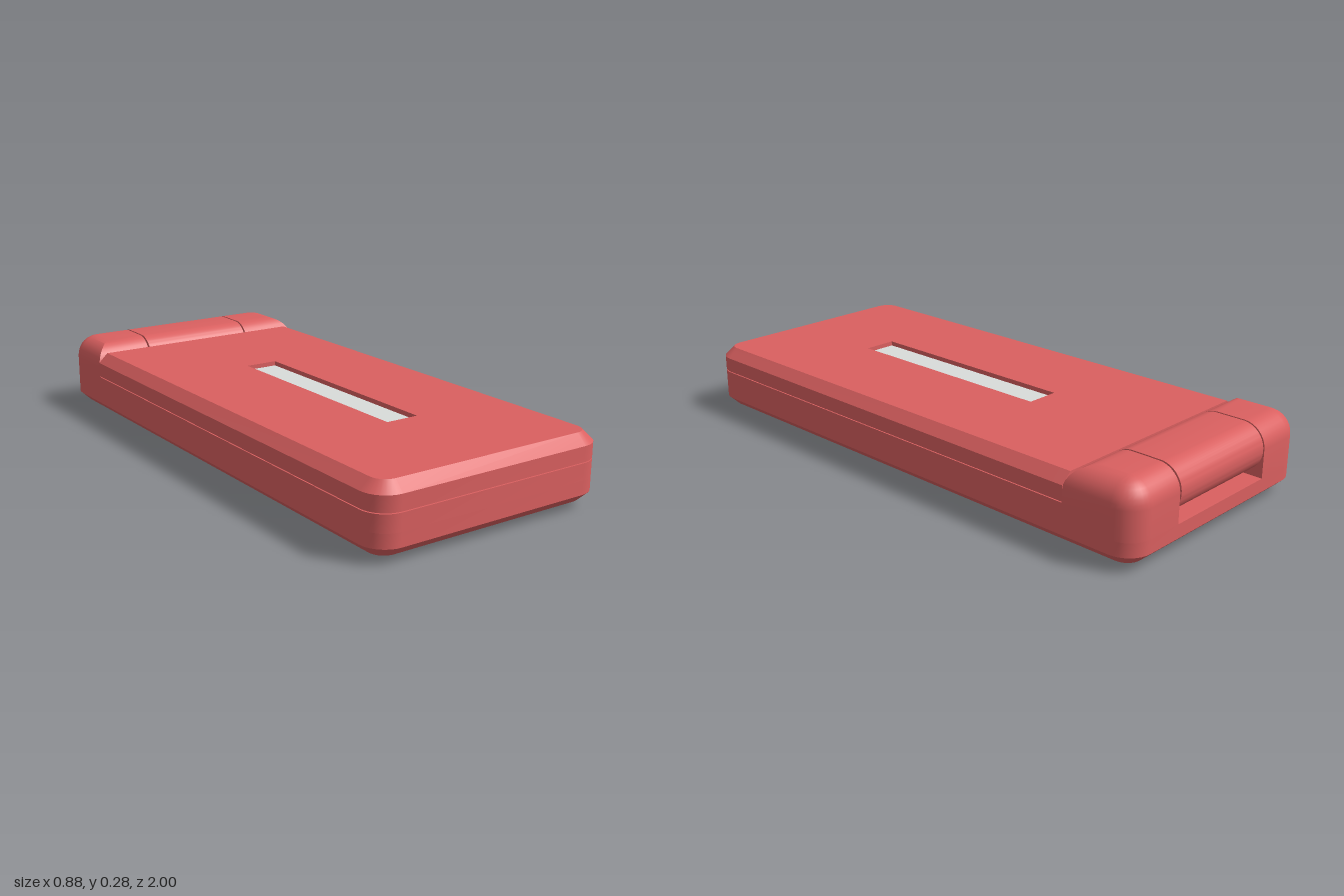
import * as THREE from 'three';
import { toCreasedNormals } from 'three/addons/utils/BufferGeometryUtils.js';

const red = new THREE.MeshStandardMaterial({ color: 0xda6060 });
red.name = 'red shell';
const grey = new THREE.MeshStandardMaterial({ color: 0xd9dcda });
grey.name = 'pale grey glass';

const W = 0.44, R = 0.085, HINGE_Z = -0.74, SLOT = 0.224;

// Plan outline, counter-clockwise from above, starting at the front +x corner.
// radii: front +x, back +x, back -x, front -x. sides: which of x0, x1, z0, z1 move with the inset.
function outline([x0, x1, z0, z1], radii, sides, inset) {
  const a = x0 + inset * sides[0], b = x1 - inset * sides[1];
  const c = z0 + inset * sides[2], d = z1 - inset * sides[3];
  const corners = [[b, d, 1, 1], [b, c, 1, -1], [a, c, -1, -1], [a, d, -1, 1]];
  return corners.flatMap(([x, z, sx, sz], k) => {
    if (!radii[k]) return [[x, z]];
    const r = Math.max(radii[k] - inset, 0.004), n = 8;
    return Array.from({ length: n + 1 }, (_, i) => {
      const t = (k - 1 + i / n) * Math.PI / 2;
      return [x - sx * r + r * Math.cos(t), z - sz * r - r * Math.sin(t)];
    });
  });
}

// Solid with a plan outline at each level [inset, y], and an optional pocket sunk into its top.
function loft(rect, radii, sides, levels, pocket) {
  const pos = [];
  const rings = levels.map(([inset, y]) =>
    outline(rect, radii, sides, inset).map(([x, z]) => [x, y, z]));
  const tri = (a, b, c) => pos.push(...a, ...b, ...c);
  const wall = (lo, hi) => lo.forEach((p, i) => {
    const j = (i + 1) % lo.length;
    tri(p, lo[j], hi[j]);
    tri(p, hi[j], hi[i]);
  });
  const cap = (ring, holes, up) => {
    const flat = (r) => r.map(([x, , z]) => new THREE.Vector2(x, -z));
    const all = [ring, ...holes].flat();
    for (const [a, b, c] of THREE.ShapeUtils.triangulateShape(flat(ring), holes.map(flat))) {
      if (up) tri(all[a], all[b], all[c]);
      else tri(all[a], all[c], all[b]);
    }
  };
  for (let i = 0; i + 1 < rings.length; i++) wall(rings[i], rings[i + 1]);
  const top = rings[rings.length - 1];
  const holes = [];
  if (pocket) {
    const [x0, x1, z0, z1] = pocket.rect, y = levels[levels.length - 1][1];
    // clockwise, so that the pocket walls face inwards
    const hole = [[x0, y, z1], [x0, y, z0], [x1, y, z0], [x1, y, z1]];
    holes.push(hole);
    wall(hole.map(([x, , z]) => [x, y - pocket.depth, z]), hole);
  }
  cap(top, holes, true);
  cap(rings[0], [], false);
  const g = new THREE.BufferGeometry();
  g.setAttribute('position', new THREE.Float32BufferAttribute(pos, 3));
  return toCreasedNormals(g, 0.5);
}

export function createModel() {
  const model = new THREE.Group();
  model.name = 'flipPhone';
  const add = (name, geometry, material = red, parent = model) => {
    const mesh = new THREE.Mesh(geometry, material);
    mesh.name = name;
    parent.add(mesh);
    return mesh;
  };
  const all = [1, 1, 1, 1];

  // Lower half: a bevelled tray, with a raised deck in front of the hinge
  const base = new THREE.Group();
  base.name = 'base';
  model.add(base);
  add('baseTray', loft([-W, W, -1, 1], [R, R, R, R], all,
    [[0.035, 0.02], [0, 0.053], [0, 0.1]]), red, base);
  add('baseDeck', loft([-W, W, HINGE_Z, 1], [R, 0, 0, R], all,
    [[0, 0.1], [0, 0.157]]), red, base);

  // Hinge ends: fillet of 0.08 on every side but the one facing the barrel
  const fillet = [[0, 0.1]];
  for (let i = 0; i <= 8; i++) {
    const t = i / 8 * Math.PI / 2;
    fillet.push([0.08 * (1 - Math.cos(t)), 0.198 + 0.08 * Math.sin(t)]);
  }
  add('hingeEndLeft', loft([SLOT, W, -1, HINGE_Z], [0, R, 0, 0], [0, 1, 1, 1], fillet), red, base);
  add('hingeEndRight', loft([-W, -SLOT, -1, HINGE_Z], [0, 0, R, 0], [1, 0, 1, 1], fillet), red, base);

  // Upper half: bevelled lid with a sunken display window
  const lid = new THREE.Group();
  lid.name = 'lid';
  model.add(lid);
  const win = [-0.06, 0.06, -0.275, 0.555];
  add('lidShell', loft([-W, W, HINGE_Z, 1], [R, 0, 0, R], [1, 1, 0, 1],
    [[0, 0.16], [0, 0.212], [0.035, 0.246]], { rect: win, depth: 0.02 }), red, lid);
  add('displayWindow', new THREE.BoxGeometry(0.12, 0.004, 0.83), grey, lid)
    .position.set(0, 0.228, 0.14);

  // Hinge barrel: rounded bar across the gap between the hinge ends
  const z0 = 0.74, z1 = 1, y0 = 0.115, y1 = 0.278, r = 0.08;
  const bar = new THREE.Shape();
  bar.absarc(z1 - r, y0 + r, r, -Math.PI / 2, 0);
  bar.absarc(z1 - r, y1 - r, r, 0, Math.PI / 2);
  bar.absarc(z0 + r, y1 - r, r, Math.PI / 2, Math.PI);
  bar.absarc(z0 + r, y0 + r, r, Math.PI, Math.PI * 1.5);
  const length = 2 * SLOT - 0.014;
  const barrel = new THREE.ExtrudeGeometry(bar, { depth: length, bevelEnabled: false, curveSegments: 8 });
  barrel.translate(0, 0, -length / 2).rotateY(Math.PI / 2);
  // the profile's first axis now points to the back
  add('hingeBarrel', toCreasedNormals(barrel, 0.5), red, lid);

  // Camera on the underside: tapered ring around a recessed lens
  const camera = new THREE.Group();
  camera.name = 'camera';
  camera.position.set(0.25, 0, -0.773);
  model.add(camera);
  const ring = [[0.04, 0.012], [0.04, 0], [0.052, 0], [0.061, 0.022]]
    .map(([x, y]) => new THREE.Vector2(x, y));
  add('cameraRing', toCreasedNormals(new THREE.LatheGeometry(ring, 32), 0.5), red, camera);
  add('cameraLens', new THREE.CircleGeometry(0.041, 32).rotateX(Math.PI / 2), grey, camera)
    .position.y = 0.008;

  return model;
}
